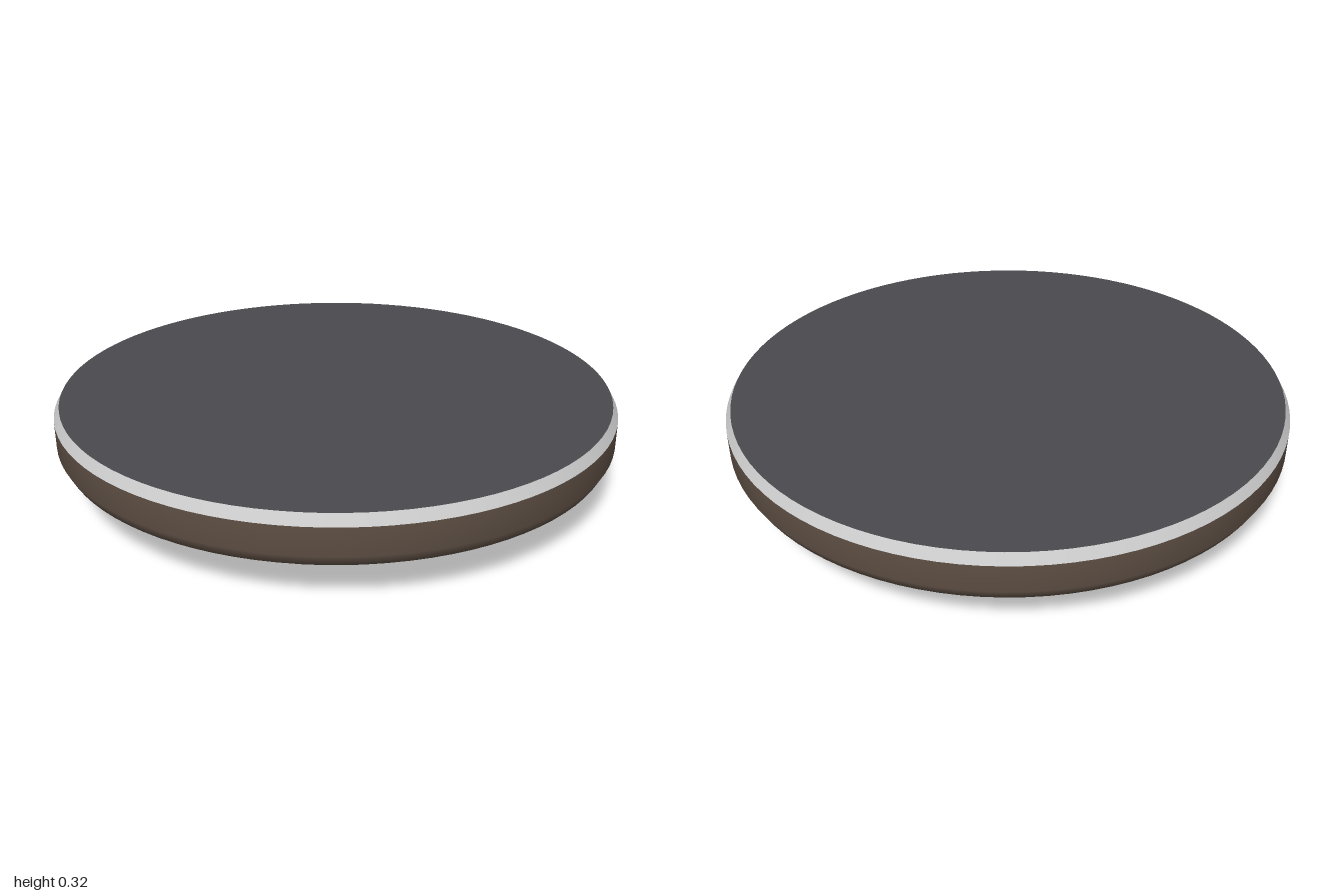
import * as THREE from 'three';

const SIDES = 96;

function part(name, geometry, color) {
  const mesh = new THREE.Mesh(geometry, new THREE.MeshStandardMaterial({ color }));
  mesh.name = name;
  return mesh;
}

export function createModel() {
  const model = new THREE.Group();
  model.name = 'shallowDisc';

  // Rounded bowl: a flattened quarter ellipse running up into a straight wall
  const bowlHeight = 0.19, wallTop = 0.285, top = 0.32, topRadius = 0.98;
  const profile = [];
  for (let i = 0; i <= 8; i++) {
    const a = (i / 8) * Math.PI / 2;
    profile.push(new THREE.Vector2(Math.sin(a), bowlHeight * (1 - Math.cos(a))));
  }
  profile.push(new THREE.Vector2(1, wallTop));
  model.add(part('bowl', new THREE.LatheGeometry(profile, SIDES), 0x5f5045));

  // Pale bevelled rim
  const rim = part('rim', new THREE.CylinderGeometry(topRadius, 1, top - wallTop, SIDES, 1, true), 0xcccccc);
  rim.position.y = (top + wallTop) / 2;
  model.add(rim);

  // Flat dark top
  const face = part('topFace', new THREE.CircleGeometry(topRadius, SIDES), 0x4a4a4e);
  face.rotation.x = -Math.PI / 2;
  face.position.y = top;
  model.add(face);

  return model;
}
